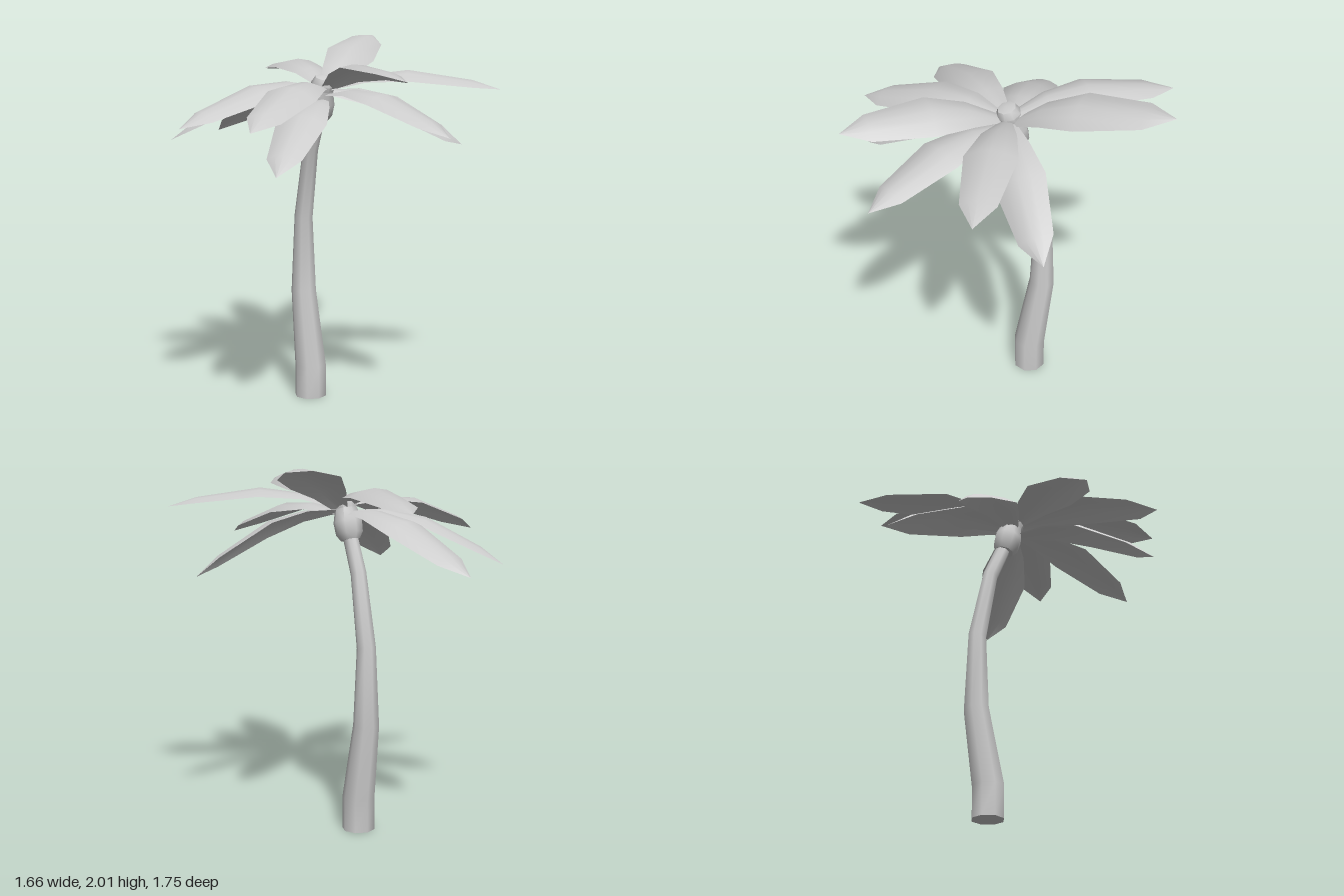
import * as THREE from 'three';
import { toCreasedNormals } from 'three/addons/utils/BufferGeometryUtils.js';

const V = (x, y, z) => new THREE.Vector3(x, y, z);
const material = new THREE.MeshStandardMaterial({ color: 0xcccccc, side: THREE.DoubleSide });

function addMesh(group, name, geometry) {
  const mesh = new THREE.Mesh(geometry, material);
  mesh.name = name;
  group.add(mesh);
  return mesh;
}

// Bent, tapering trunk: each ring is [y, z, radius, tilt]
function trunkGeometry() {
  const sides = 8;
  const rings = [
    [0, -0.147, 0.089, 0], [0.18, -0.147, 0.089, -0.03], [0.6, -0.22, 0.071, -0.06],
    [1.025, -0.22, 0.052, 0.17], [1.415, -0.145, 0.043, 0.35], [1.63, -0.055, 0.04, 0.4],
  ];
  const geo = new THREE.CylinderGeometry(1, 1, 1, sides, rings.length - 1);
  const pos = geo.attributes.position;
  for (let i = 0; i < pos.count; i++) {
    const row = Math.round((pos.getY(i) + 0.5) * (rings.length - 1));
    const [y, z, r, tilt] = rings[row];
    const x = pos.getX(i) * r, w = pos.getZ(i) * r;
    pos.setXYZ(i, 0.042 + x, y - w * Math.sin(tilt), z + w * Math.cos(tilt));
  }
  return toCreasedNormals(geo, 1);
}

// Arched blade from base to tip, rolled about its chord; positive roll lowers the +side edge
function frondGeometry(base, tip, roll) {
  // Stations along the chord: [t, half width, ridge rise, edge drop]
  const stations = [
    [0, 0.035, 0, 0.01], [0.2, 0.09, 0.07, 0.03], [0.45, 0.136, 0.1, 0.045],
    [0.83, 0.092, 0.05, 0.03], [1, 0, 0, 0],
  ];
  const columns = [-1, -0.5, 0, 0.5, 1];
  const chord = tip.clone().sub(base);
  const dir = chord.clone().normalize();
  const side = V(dir.z, 0, -dir.x).normalize();
  const up = dir.clone().cross(side);
  side.applyAxisAngle(dir, -roll);
  up.applyAxisAngle(dir, -roll);

  const points = [], index = [];
  for (const [t, half, rise, drop] of stations) {
    for (const c of columns) {
      const p = base.clone().addScaledVector(chord, t)
        .addScaledVector(side, c * half)
        .addScaledVector(up, rise - drop * c * c);
      points.push(p.x, p.y, p.z);
    }
  }
  for (let r = 0; r < stations.length - 1; r++) {
    for (let c = 0; c < 4; c++) {
      const a = r * 5 + c, b = a + 5;
      index.push(a, b, a + 1);
      if (r < stations.length - 2) index.push(a + 1, b, b + 1);
    }
  }
  const geo = new THREE.BufferGeometry();
  geo.setAttribute('position', new THREE.Float32BufferAttribute(points, 3));
  geo.setIndex(index);
  geo.computeVertexNormals();
  return geo;
}

export function createModel() {
  const tree = new THREE.Group();
  tree.name = 'palmTree';

  addMesh(tree, 'trunk', trunkGeometry());

  // Bulb at the top of the trunk, leaning forward, with a small bud above the fronds
  const profile = [
    [0, 0], [0.052, 0], [0.074, 0.035], [0.078, 0.1], [0.06, 0.17],
    [0.068, 0.2], [0.05, 0.238], [0, 0.25],
  ].map(([r, h]) => new THREE.Vector2(r, h));
  const crown = addMesh(tree, 'crown', toCreasedNormals(new THREE.LatheGeometry(profile, 8), 0.9));
  crown.position.set(0.038, 1.585, -0.062);
  crown.rotation.x = 0.27;

  // Fronds: tip x, y, z, height of the base, roll
  const fronds = [
    [-0.16, 1.46, -0.84, 1.74, -0.1],
    [0.225, 1.80, -0.875, 1.78, 0],
    [0.74, 1.998, -0.56, 1.75, -0.27],
    [0.83, 1.42, 0.19, 1.74, -0.45],
    [0.805, 1.755, 0.55, 1.76, -0.05],
    [0.24, 1.56, 0.85, 1.73, 0],
    [-0.05, 1.855, 0.87, 1.77, 0.27],
    [-0.70, 1.61, 0.50, 1.77, 0.15],
    [-0.83, 1.59, 0, 1.77, 0.18],
    [-0.60, 1.46, -0.57, 1.74, 0.05],
    [-0.58, 1.39, 0.54, 1.70, 0],
  ];
  const foliage = new THREE.Group();
  foliage.name = 'fronds';
  tree.add(foliage);
  fronds.forEach(([x, y, z, baseY, roll], i) => {
    const out = V(x - 0.04, 0, z).normalize().multiplyScalar(0.04);
    const base = V(0.04 + out.x, baseY, out.z);
    addMesh(foliage, `frond${i + 1}`, frondGeometry(base, V(x, y, z), roll));
  });
  return tree;
}
